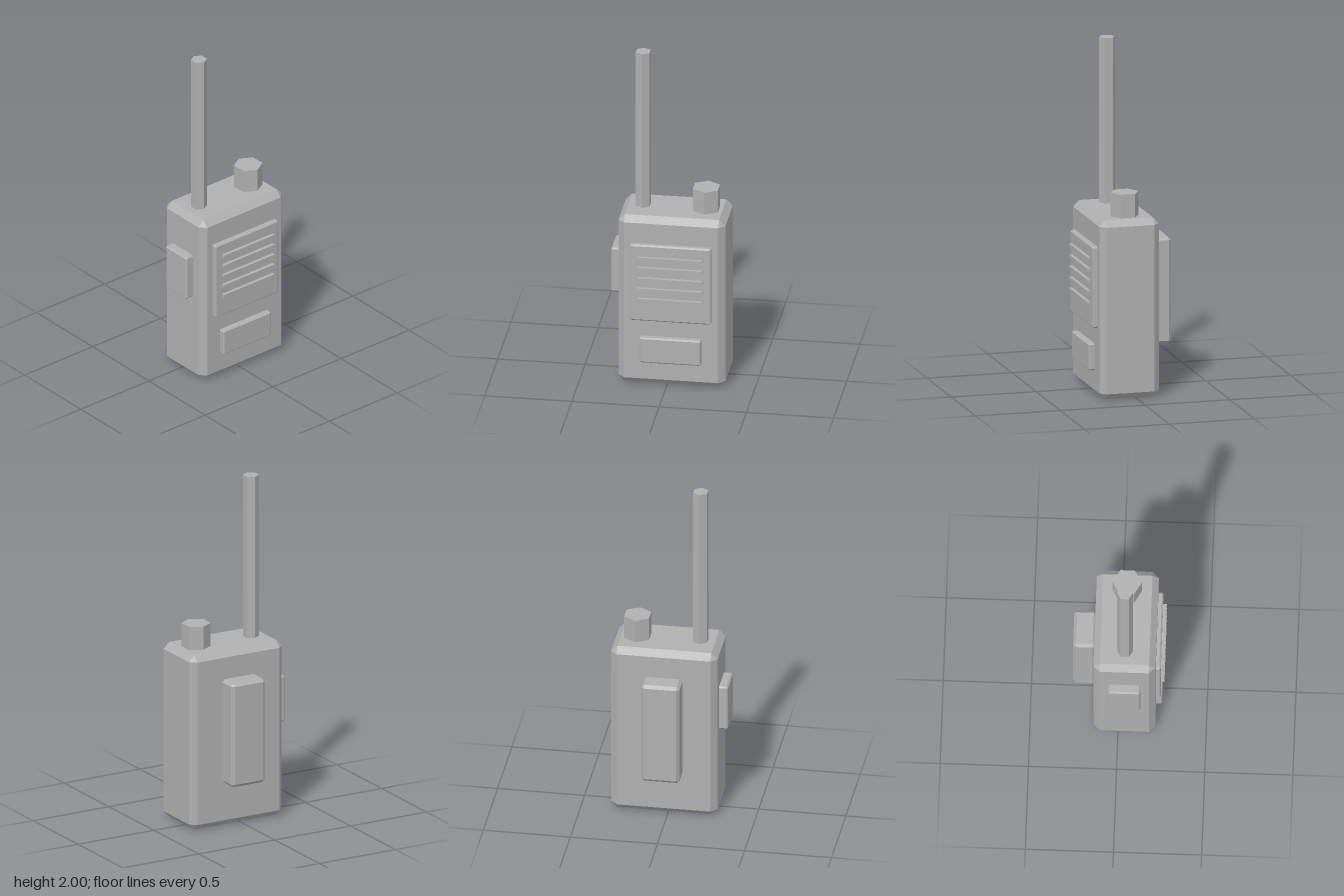
import * as THREE from 'three';
import { ConvexGeometry } from 'three/addons/geometries/ConvexGeometry.js';

// Box between two corners, with every edge chamfered by c
function chamferBox([x0, y0, z0], [x1, y1, z1], c) {
  const points = [];
  for (const [x, sx] of [[x0, 1], [x1, -1]])
    for (const [y, sy] of [[y0, 1], [y1, -1]])
      for (const [z, sz] of [[z0, 1], [z1, -1]])
        points.push(
          new THREE.Vector3(x, y + sy * c, z + sz * c),
          new THREE.Vector3(x + sx * c, y, z + sz * c),
          new THREE.Vector3(x + sx * c, y + sy * c, z));
  return new ConvexGeometry(points);
}

// Upright hexagonal prism with a corner facing the front
function hexPost(x, z, radius, y0, y1) {
  return new THREE.CylinderGeometry(radius, radius, y1 - y0, 6).translate(x, (y0 + y1) / 2, z);
}

export function createModel() {
  const group = new THREE.Group();
  const grey = new THREE.MeshStandardMaterial({ color: 0xb0b0b0, flatShading: true });
  grey.name = 'plain grey';

  const add = (name, geometry) => {
    const mesh = new THREE.Mesh(geometry, grey);
    mesh.name = name;
    group.add(mesh);
  };

  // Main case
  add('body', chamferBox([-0.281, 0, -0.14], [0.331, 1.04, 0.212], 0.036));

  // Front panels
  add('speakerPanel', chamferBox([-0.207, 0.408, 0.2], [0.257, 0.88, 0.24], 0.008));
  add('frontButton', chamferBox([-0.153, 0.15, 0.2], [0.199, 0.305, 0.247], 0.007));

  // Speaker grille bars
  for (let i = 0; i < 5; i++)
    add('grilleBar' + (i + 1),
      new THREE.BoxGeometry(0.372, 0.017, 0.03).translate(0.025, 0.803 - i * 0.0645, 0.245));

  // Talk button on the right side
  add('talkButton', chamferBox([-0.332, 0.526, -0.056], [-0.26, 0.8, 0.128], 0.009));

  // Belt clip on the back
  add('beltClip', chamferBox([-0.086, 0.262, -0.261], [0.136, 0.88, -0.133], 0.017));

  // Antenna and control knob on top
  add('antenna', hexPost(-0.161, 0.036, 0.046, 1.03, 2));
  add('knob', hexPost(0.201, 0.036, 0.083, 1.03, 1.177));

  return group;
}
